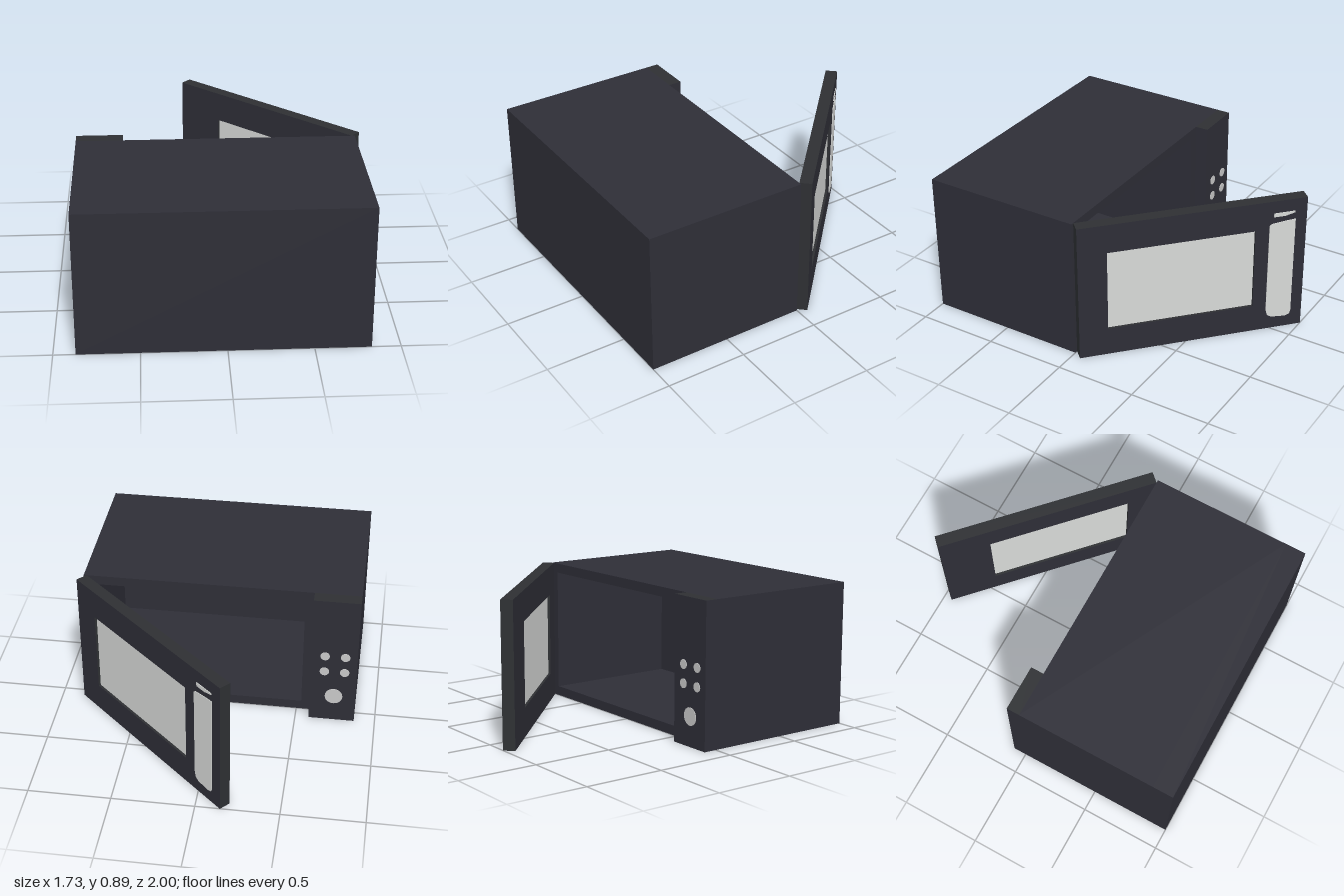
import * as THREE from 'three';

const mat = (name, color) => {
  const m = new THREE.MeshStandardMaterial({ color });
  m.name = name;
  return m;
};

// Closed outline from [x, y] points
const outline = (pts) => new THREE.Shape(pts.map(([x, y]) => new THREE.Vector2(x, y)));
const rect = (x0, y0, x1, y1) => outline([[x0, y0], [x1, y0], [x1, y1], [x0, y1]]);

export function createModel() {
  const casing = mat('casing', 0x2e2e37);
  const trim = mat('edge trim', 0x2e3033);
  const pale = mat('pale glass', 0xd8dad8);
  const metal = mat('button grey', 0xc8c8c8);

  const model = new THREE.Group();
  const add = (parent, name, geometry, material, x = 0, y = 0, z = 0) => {
    const mesh = new THREE.Mesh(geometry, material);
    mesh.name = name;
    mesh.position.set(x, y, z);
    parent.add(mesh);
    return mesh;
  };
  const extrude = (shape, depth) =>
    new THREE.ExtrudeGeometry(shape, { depth, bevelEnabled: false, curveSegments: 8 });

  const H = 0.89;

  // Hollow casing, open towards -z, closed by an end wall
  const shell = rect(-0.87, 0, 0.83, H);
  shell.holes.push(rect(-0.53, 0.06, 0.77, 0.83));
  add(model, 'casing', extrude(shell, 0.87), casing);
  add(model, 'endWall', new THREE.BoxGeometry(1.7, H, 0.13), casing, -0.02, H / 2, 0.935);

  // Control column beside the opening
  add(model, 'controlColumn', new THREE.BoxGeometry(0.285, H, 0.082),
    [casing, casing, trim, trim, casing, casing], -0.7275, H / 2, -0.041);

  // Four buttons and a dial
  const disc = (name, radius, x, y) => {
    const g = new THREE.CylinderGeometry(radius, radius, 0.006, 24).rotateX(Math.PI / 2);
    add(model, name, g, metal, x, y, -0.083);
  };
  for (const x of [-0.67, -0.795])
    for (const y of [0.487, 0.372]) disc('button', 0.029, x, y);
  disc('dial', 0.055, -0.735, 0.185);

  // Open door: local x runs from the hinge to the tip, local +z is its outer face
  const door = new THREE.Group();
  door.name = 'door';
  door.position.set(0.812, 0, 0);
  door.rotation.y = Math.PI - 0.753;
  model.add(door);

  const T = 0.074;
  const frame = rect(0, 0, 1.385, H);
  frame.holes.push(rect(0.175, 0.18, 1.07, 0.705));
  add(door, 'doorFrame', extrude(frame, T), [casing, trim]);
  add(door, 'doorWindow', new THREE.BoxGeometry(0.895, 0.525, 0.044), pale, 0.6225, 0.4425, T / 2);

  // Handle strip with rounded foot, and the sliver above it
  const strip = outline([[1.155, 0.73], [1.155, 0.14], [1.165, 0.1], [1.19, 0.083], [1.28, 0.075],
    [1.308, 0.085], [1.315, 0.11], [1.315, 0.755], [1.25, 0.75], [1.17, 0.74]]);
  const sliver = outline([[1.18, 0.785], [1.25, 0.785], [1.31, 0.8], [1.31, 0.81], [1.18, 0.81]]);
  add(door, 'handleStrip', extrude(strip, 0.004), pale, 0, 0, T);
  add(door, 'handleTop', extrude(sliver, 0.004), pale, 0, 0, T);

  return model;
}
